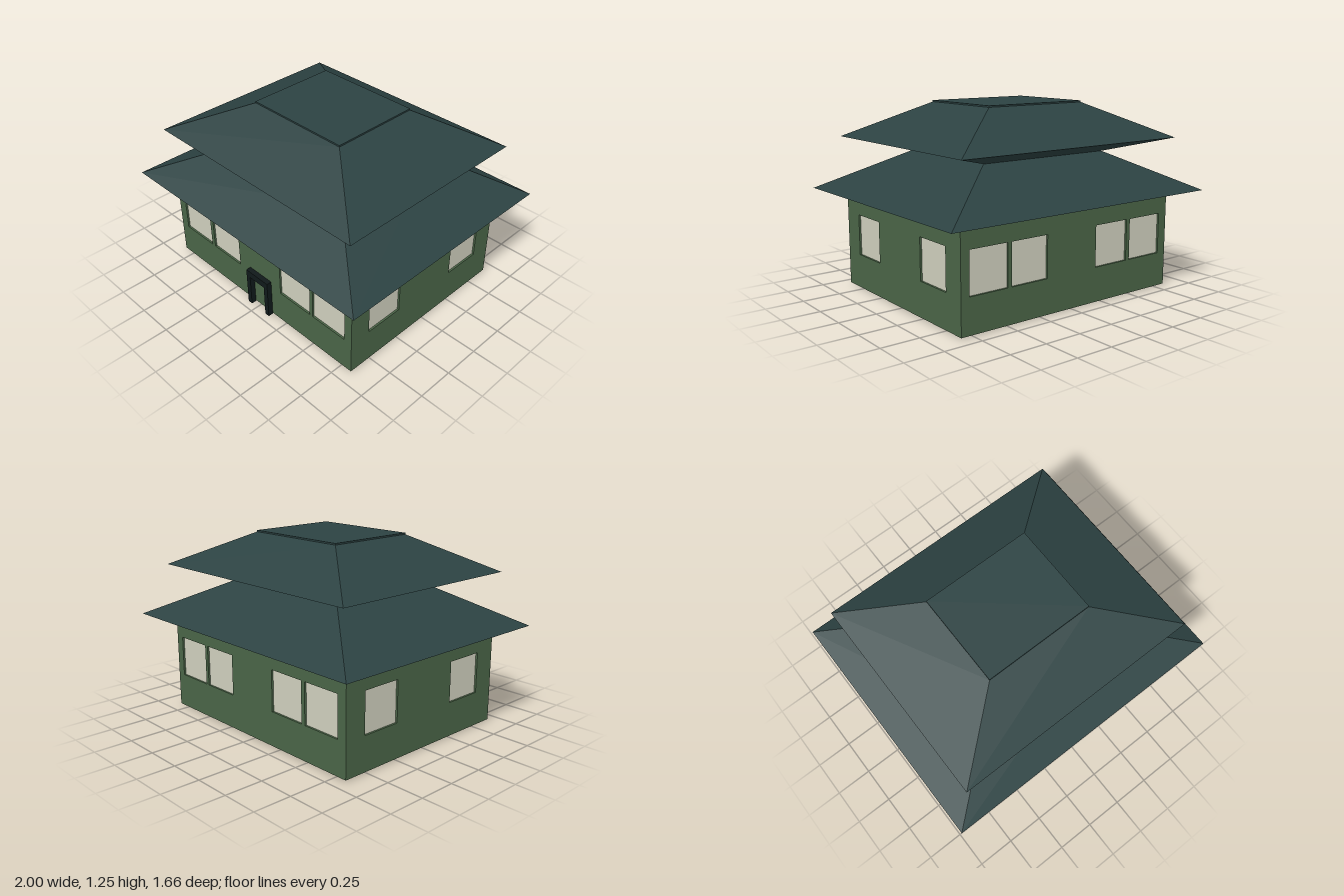
import * as THREE from 'three';

const mat = (color) => new THREE.MeshStandardMaterial({ color, flatShading: true });

// Closed solid through rectangular rings [halfX, halfZ, y], bottom to top
function loftRings(rings) {
  const pos = [];
  const corners = ([x, z, y]) => [[x, y, z], [x, y, -z], [-x, y, -z], [-x, y, z]];
  const quad = (a, b, c, d) => pos.push(...a, ...b, ...c, ...a, ...c, ...d);
  const loops = rings.map(corners);
  for (let i = 0; i < loops.length - 1; i++) {
    for (let k = 0; k < 4; k++) {
      const n = (k + 1) % 4;
      quad(loops[i][k], loops[i][n], loops[i + 1][n], loops[i + 1][k]);
    }
  }
  const [a, b, c, d] = loops[0];
  quad(d, c, b, a);
  quad(...loops[loops.length - 1]);
  const geo = new THREE.BufferGeometry();
  geo.setAttribute('position', new THREE.Float32BufferAttribute(pos, 3));
  geo.computeVertexNormals();
  return geo;
}

function rect(target, x0, x1, y0, y1) {
  target.moveTo(x0, y0);
  target.lineTo(x1, y0);
  target.lineTo(x1, y1);
  target.lineTo(x0, y1);
  target.closePath();
  return target;
}

export function createModel() {
  const house = new THREE.Group();
  house.name = 'house';
  const wallMat = mat(0x4a6547);
  const glassMat = mat(0xd0d0be);
  const roofMat = mat(0x2c4242);
  const frameMat = mat(0x10191a);

  const add = (parent, name, geo, material, x = 0, y = 0, z = 0) => {
    const mesh = new THREE.Mesh(geo, material);
    mesh.name = name;
    mesh.position.set(x, y, z);
    parent.add(mesh);
    return mesh;
  };

  // Walls: a core box faced with panels that have window openings
  const W = 0.832, D = 0.665, Y0 = 0.008, Y1 = 0.66, T = 0.015;
  const sill = 0.235, head = 0.505;
  add(house, 'wallCore', new THREE.BoxGeometry(2 * (W - T), Y1 - Y0, 2 * (D - T)), wallMat, 0, (Y0 + Y1) / 2, 0);

  const wall = (name, halfWidth, distance, angle, windows) => {
    const group = new THREE.Group();
    group.name = name;
    group.rotation.y = angle;
    const shape = rect(new THREE.Shape(), -halfWidth, halfWidth, Y0, Y1);
    for (const [x0, x1] of windows) {
      shape.holes.push(rect(new THREE.Path(), x0, x1, sill, head));
      add(group, 'windowPane', new THREE.BoxGeometry(x1 - x0, head - sill, 0.004),
        glassMat, (x0 + x1) / 2, (sill + head) / 2, distance - T);
    }
    add(group, 'wallPanel', new THREE.ExtrudeGeometry(shape, { depth: T, bevelEnabled: false }),
      wallMat, 0, 0, distance - T);
    house.add(group);
  };
  const longWindows = [[-0.765, -0.49], [-0.46, -0.19], [0.207, 0.477], [0.503, 0.773]];
  const sideWindows = [[-0.515, -0.245], [0.245, 0.515]];
  wall('frontWall', W, D, 0, longWindows);
  wall('backWall', W, D, Math.PI, longWindows.map(([a, b]) => [-b, -a]));
  wall('leftWall', D - T, W, Math.PI / 2, sideWindows);
  wall('rightWall', D - T, W, -Math.PI / 2, sideWindows);

  // Two-tier hipped roof with a flat, slightly raised top
  add(house, 'roof', loftRings([
    [1, 0.83, 0.66], [0.48, 0.4, 0.92], [0.848, 0.706, 1.01],
    [0.372, 0.31, 1.24], [0.372, 0.31, 1.25],
  ]), roofMat);

  // Door frame
  const door = new THREE.Group();
  door.name = 'doorFrame';
  for (const x of [-0.068, 0.102]) {
    add(door, 'doorPost', new THREE.BoxGeometry(0.034, 0.226, 0.1), frameMat, x, 0.113, 0.65);
  }
  add(door, 'doorLintel', new THREE.BoxGeometry(0.204, 0.048, 0.1), frameMat, 0.017, 0.25, 0.65);
  house.add(door);

  return house;
}
